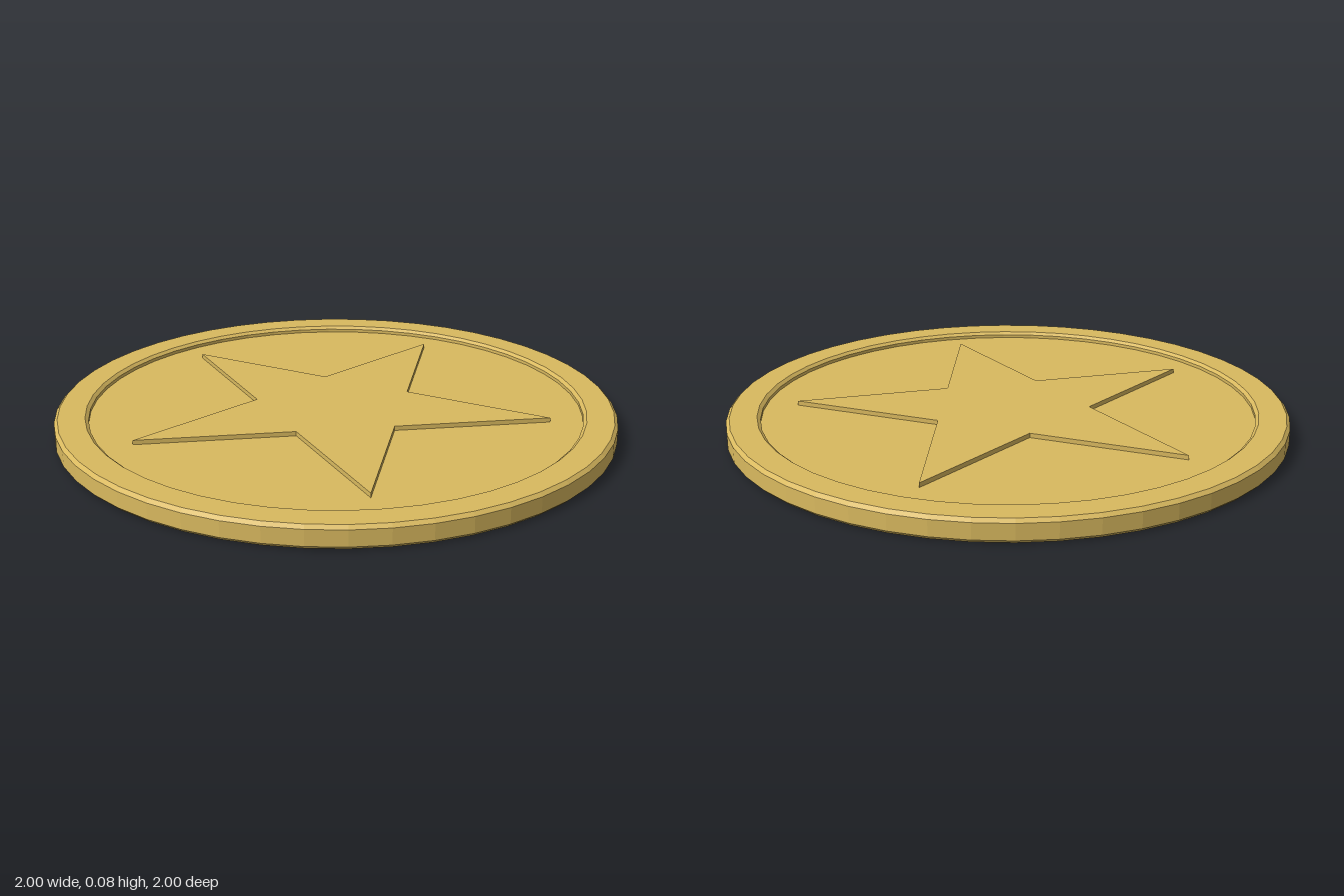
import * as THREE from 'three';

const HEIGHT = 0.08, SIDES = 48;
const FIELD = 0.022;      // depth of the recessed faces below the rim
const STAR_HEIGHT = 0.016;

function starShape(outer, inner) {
  const points = [];
  for (let i = 0; i < 10; i++) {
    const r = i % 2 ? inner : outer, a = Math.PI / 2 + i * Math.PI / 5;
    points.push(new THREE.Vector2(r * Math.cos(a), r * Math.sin(a)));
  }
  return new THREE.Shape(points);
}

export function createModel() {
  const coin = new THREE.Group();
  coin.name = 'coin';
  const gold = new THREE.MeshStandardMaterial({ color: 0xd9b95f, flatShading: true });

  const add = (name, geometry) => {
    const mesh = new THREE.Mesh(geometry, gold);
    mesh.name = name;
    coin.add(mesh);
  };

  // Rim: bevelled ring, lower half mirrored into the upper half
  const lower = [[0.88, FIELD], [0.88, 0.01], [0.892, 0], [0.988, 0], [1, 0.012]];
  const upper = lower.map(([r, y]) => [r, HEIGHT - y]).reverse();
  const profile = [...lower, ...upper].map(([r, y]) => new THREE.Vector2(r, y));
  add('rim', new THREE.LatheGeometry(profile, SIDES));

  // Recessed face and raised star on both sides
  for (const top of [true, false]) {
    const side = top ? 'top' : 'bottom';
    const y = top ? HEIGHT - FIELD : FIELD;

    const face = new THREE.CircleGeometry(0.88, SIDES);
    face.rotateX(top ? -Math.PI / 2 : Math.PI / 2);
    face.translate(0, y, 0);
    add(side + 'Face', face);

    // The star's first point aims at -z on both sides
    const star = new THREE.ExtrudeGeometry(starShape(0.765, 0.292), { depth: STAR_HEIGHT, bevelEnabled: false });
    star.rotateX(-Math.PI / 2);
    star.translate(0, top ? y : y - STAR_HEIGHT, 0);
    add(side + 'Star', star);
  }
  return coin;
}
